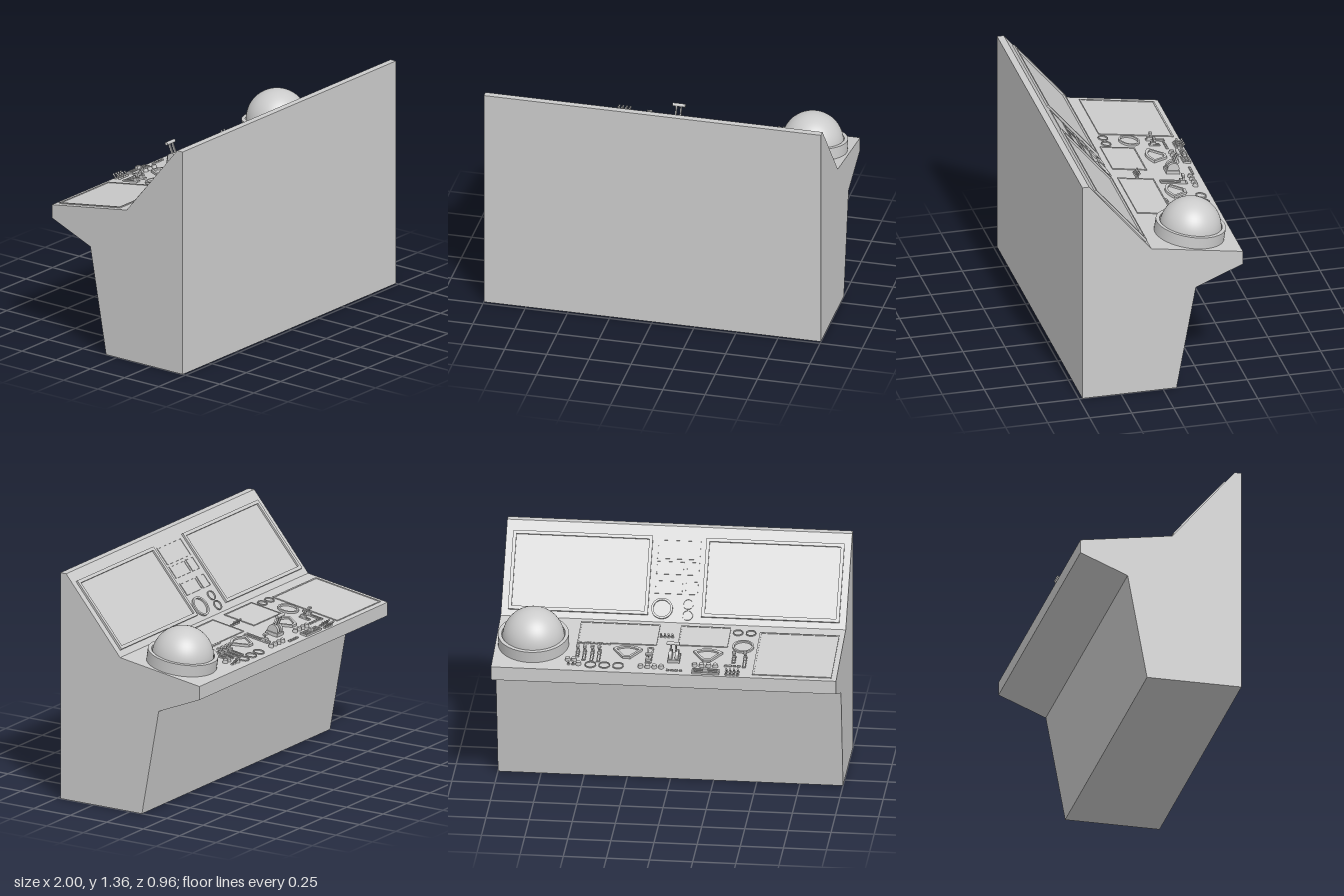
import * as THREE from 'three';

const mat = new THREE.MeshStandardMaterial({ color: 0xcccccc, side: THREE.DoubleSide });
const DESK = 0.155, WALL = 0.871; // slopes of the desk and of the display wall

function add(parent, name, geo, x = 0, y = 0, z = 0) {
  const m = new THREE.Mesh(geo, mat);
  m.name = name;
  m.position.set(x, y, z);
  parent.add(m);
  return m;
}

// Flat shape laid on a surface and raised by h
function slab(shape, h) {
  return new THREE.ExtrudeGeometry(shape, { depth: h, bevelEnabled: false, curveSegments: 24 })
    .rotateX(Math.PI / 2).translate(0, h, 0);
}

function rectPath(w, d, Type = THREE.Shape) {
  const p = new Type();
  p.moveTo(-w / 2, -d / 2);
  p.lineTo(w / 2, -d / 2);
  p.lineTo(w / 2, d / 2);
  p.lineTo(-w / 2, d / 2);
  p.closePath();
  return p;
}

// Fan outline: narrow towards the operator, arc towards the wall
function fanPath(s, Type = THREE.Shape) {
  const p = new Type();
  p.moveTo(-0.022 * s, -0.06 * s);
  p.lineTo(0.022 * s, -0.06 * s);
  p.lineTo(0.085 * s, 0.03 * s);
  p.quadraticCurveTo(0, 0.095 * s, -0.085 * s, 0.03 * s);
  p.closePath();
  return p;
}

// Surface group: local y is the surface normal; at() turns top-view z into local z
function surface(root, name, angle) {
  const g = new THREE.Group();
  g.name = name;
  g.position.set(0, 0.916, 0.07);
  g.rotation.x = -angle;
  root.add(g);
  const at = z => (z - 0.07) / Math.cos(angle);
  return {
    g, at,
    put: (n, geo, x, z, y = 0) => add(g, n, geo, x, y, at(z)),
    // framed panel between two corners
    screen(n, x0, x1, z0, z1, t, h, fill = 0.003) {
      const w = x1 - x0, d = at(z1) - at(z0), s = rectPath(w, d);
      s.holes.push(rectPath(w - 2 * t, d - 2 * t, THREE.Path));
      const cx = (x0 + x1) / 2, cz = (z0 + z1) / 2;
      this.put(n + 'Frame', slab(s, h), cx, cz);
      this.put(n, new THREE.BoxGeometry(w - 2 * t, fill, d - 2 * t), cx, cz, fill / 2);
    },
    ring(n, x, z, r, t, h) {
      const s = new THREE.Shape().absarc(0, 0, r, 0, Math.PI * 2);
      s.holes.push(new THREE.Path().absarc(0, 0, r - t, 0, Math.PI * 2));
      this.put(n, slab(s, h), x, z);
    },
  };
}

export function createModel() {
  const root = new THREE.Group();
  root.name = 'controlConsole';

  // Cabinet: side profile (z, y) swept across the full width
  const profile = [[0.48, 0], [0.48, 1.36], [0.44, 1.36], [0.07, 0.916], [-0.475, 0.831],
    [-0.475, 0.75], [-0.195, 0.635], [-0.08, 0]];
  const body = new THREE.ExtrudeGeometry(
    new THREE.Shape(profile.map(p => new THREE.Vector2(...p))), { depth: 2, bevelEnabled: false });
  add(root, 'cabinet', body.rotateY(-Math.PI / 2).translate(1, 0, 0));

  // Display wall
  const wall = surface(root, 'displayWall', WALL);
  wall.screen('rightMonitor', -0.96, -0.16, 0.095, 0.4, 0.02, 0.014);
  wall.screen('leftMonitor', 0.15, 0.96, 0.095, 0.4, 0.02, 0.014);
  wall.screen('infoPanel', -0.13, 0.12, 0.315, 0.39, 0.006, 0.006);
  for (const z of [0.18, 0.255]) {
    wall.screen('indicator', -0.13, -0.055, z, z + 0.052, 0.005, 0.006);
    wall.screen('indicator', -0.04, 0.12, z, z + 0.052, 0.005, 0.006);
  }
  wall.ring('wallDial', 0.07, 0.122, 0.062, 0.012, 0.012);
  for (const z of [0.1, 0.143]) wall.ring('wallGauge', -0.08, z, 0.031, 0.005, 0.008);

  // Desk screens
  const desk = surface(root, 'desk', DESK);
  desk.screen('sideScreen', -0.97, -0.51, -0.445, 0.0, 0.01, 0.006);
  desk.screen('centreScreen', -0.34, -0.05, -0.17, 0.035, 0.007, 0.006);
  desk.screen('wideScreen', 0.07, 0.53, -0.18, 0.035, 0.007, 0.006);

  // Trackball dome in its collar
  const collar = [[0.183, 0], [0.205, 0], [0.205, 0.07], [0.183, 0.07], [0.183, 0]]
    .map(p => new THREE.Vector2(...p));
  for (let i = 1; i < 4; i++) { // one lathe per face keeps the rims sharp
    desk.put('domeCollar', new THREE.LatheGeometry([collar[i], collar[i + 1]], 48), 0.78, -0.21);
  }
  desk.put('dome', new THREE.SphereGeometry(0.18, 48, 32), 0.78, -0.211, 0.045);

  // Round gauges
  desk.ring('largeDial', -0.43, -0.16, 0.062, 0.011, 0.012);
  for (const x of [-0.46, -0.385]) desk.ring('smallGauge', x, -0.012, 0.03, 0.005, 0.007);
  for (const x of [0.27, 0.35, 0.43]) desk.ring('smallGauge', x, -0.41, 0.033, 0.005, 0.007);

  // Fan-shaped meters
  for (const x of [-0.235, 0.23]) {
    const s = fanPath(1);
    s.holes.push(fanPath(0.75, THREE.Path));
    desk.put('fanMeterFrame', slab(s, 0.015), x, -0.27);
    desk.put('fanMeterFace', slab(fanPath(0.76), 0.004), x, -0.27);
  }

  // Knobs
  const knobGeo = new THREE.CylinderGeometry(0.013, 0.016, 0.02, 16);
  const knobs = [];
  for (let i = 0; i < 4; i++) knobs.push([0.02 + i * 0.04, -0.41], [-0.29 + i * 0.04, -0.375]);
  knobs.push([0.53, -0.37], [0.565, -0.37], [0.5, -0.41]);
  for (const [x, z] of knobs) desk.put('knob', knobGeo, x, z, 0.01);

  // Toggle switches: base with a leaning stick
  const toggles = [[0.53, -0.413], [0.557, -0.413]];
  for (let i = 0; i < 4; i++) {
    const x = i * 0.022;
    toggles.push([-0.427 + x, -0.455], [-0.427 + x, -0.425], [-0.013 + x, -0.085]);
  }
  const baseGeo = new THREE.CylinderGeometry(0.008, 0.009, 0.008, 10);
  const stickGeo = new THREE.CylinderGeometry(0.006, 0.003, 0.03, 8).translate(0, 0.015, 0);
  for (const [x, z] of toggles) {
    desk.put('toggleBase', baseGeo, x, z, 0.004);
    desk.put('toggleStick', stickGeo, x, z, 0.004).rotation.x = -0.5;
  }

  // Rows of small push keys
  for (const [x0, n, z] of [[-0.095, 4, -0.435], [-0.425, 4, -0.365], [0.345, 8, -0.185]]) {
    for (let i = 0; i < n; i++) {
      desk.put('pushKey', new THREE.BoxGeometry(0.018, 0.008, 0.012), x0 + i * 0.025, z, 0.004);
    }
  }

  // Sliders and levers: slotted track, carriage, arm and grip
  const lever = (x, z, w, len, gripAt) => {
    desk.screen('sliderTrack', x - w / 2, x + w / 2, z - len / 2, z + len / 2, w * 0.25, 0.008);
    desk.put('sliderCarriage', new THREE.BoxGeometry(w * 0.9, 0.02, 0.03), x, z + gripAt, 0.012);
    desk.put('sliderArm', new THREE.CylinderGeometry(0.004, 0.004, 0.03, 8), x, z + gripAt, 0.03);
    desk.put('sliderGrip', new THREE.BoxGeometry(w, 0.012, 0.016), x, z + gripAt, 0.045);
  };
  lever(-0.455, -0.32, 0.02, 0.11, 0.035);
  lever(-0.39, -0.3, 0.022, 0.065, 0.01);
  lever(0.1, -0.29, 0.036, 0.16, -0.05);
  [[0.39, 0.11], [0.43, 0.11], [0.475, 0.1], [0.515, 0.065]].forEach(([x, len]) =>
    lever(x, -0.267 - len / 2, 0.02, len, len / 2 - 0.02));

  // Crosswise slider box
  desk.screen('crossSlider', -0.32, -0.16, -0.46, -0.415, 0.008, 0.012);
  desk.put('crossSliderRail', new THREE.BoxGeometry(0.13, 0.008, 0.008), -0.24, -0.437, 0.008);
  desk.put('crossSliderGrip', new THREE.BoxGeometry(0.03, 0.02, 0.02), -0.24, -0.437, 0.018);

  // Throttle: round hub, twin arms and a crossbar grip
  const throttle = new THREE.Group();
  throttle.name = 'throttle';
  throttle.position.set(-0.045, 0, desk.at(-0.315));
  desk.g.add(throttle);
  add(throttle, 'throttleBase', new THREE.BoxGeometry(0.07, 0.02, 0.08), 0, 0.01, 0);
  const hub = new THREE.CylinderGeometry(0.035, 0.035, 0.02, 24).rotateZ(Math.PI / 2);
  for (const s of [-1, 1]) add(throttle, 'throttleHub', hub, s * 0.018, 0.03, 0);
  const arm = new THREE.Group();
  arm.name = 'throttleArm';
  arm.position.y = 0.04;
  arm.rotation.x = -0.25;
  throttle.add(arm);
  for (const s of [-1, 1]) {
    add(arm, 'throttleRod', new THREE.BoxGeometry(0.008, 0.08, 0.012), s * 0.014, 0.04, 0);
  }
  add(arm, 'throttleGrip', new THREE.CylinderGeometry(0.01, 0.01, 0.075, 14).rotateZ(Math.PI / 2), 0, 0.085, 0);

  return root;
}
